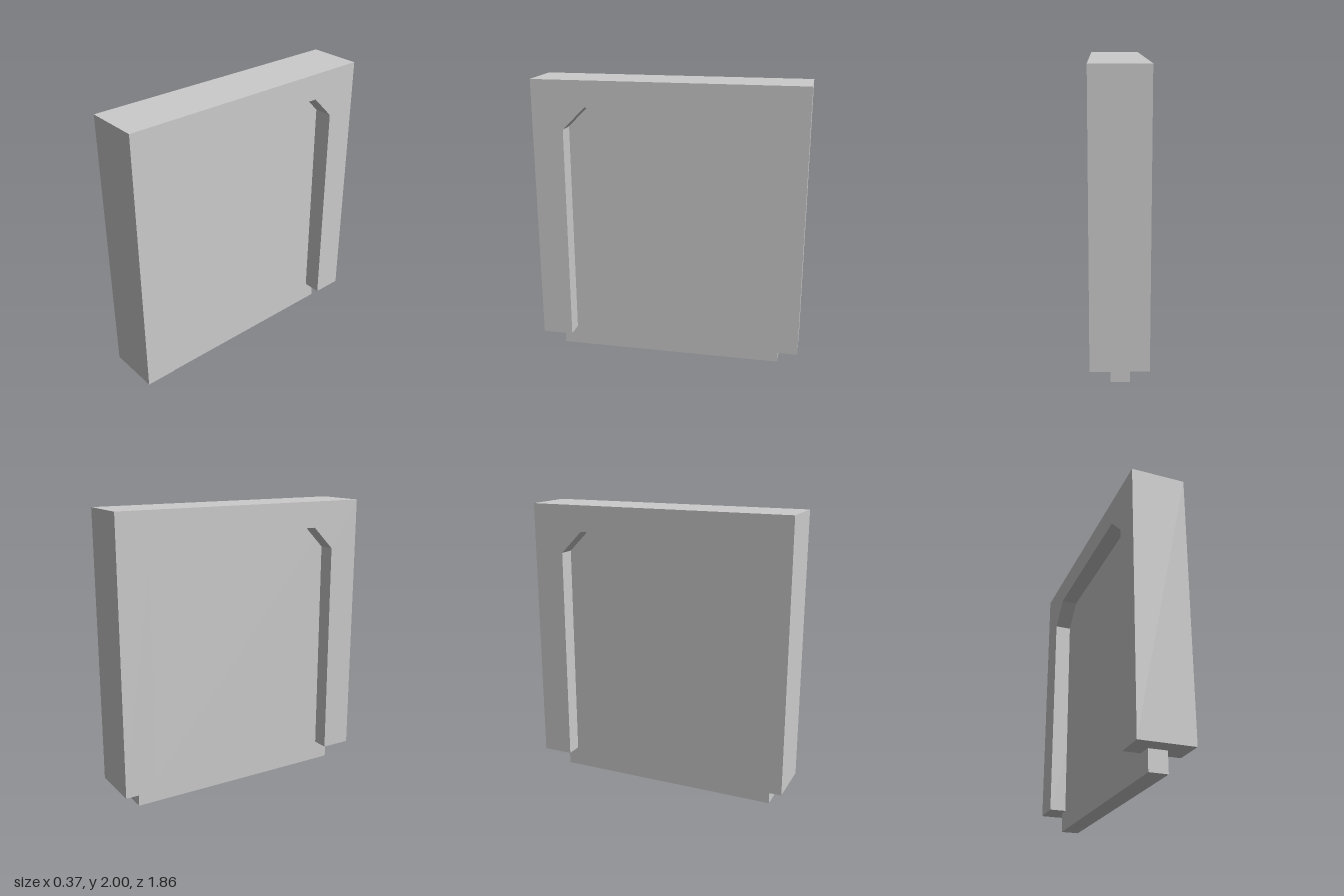
import * as THREE from 'three';

export function createModel() {
  const group = new THREE.Group();
  const material = new THREE.MeshStandardMaterial({ color: 0xcccccc, flatShading: true });

  // Surround: an upside-down U with chamfered inner corners
  const width = 0.37;
  const outline = [
    [-0.93, 0.14], [-0.715, 0.14], [-0.715, 1.665], [-0.56, 1.82],
    [0.56, 1.82], [0.715, 1.665], [0.715, 0.14], [0.93, 0.14],
    [0.93, 2], [-0.93, 2],
  ];
  const shape = new THREE.Shape(outline.map(([z, y]) => new THREE.Vector2(z, y)));
  const frameGeometry = new THREE.ExtrudeGeometry(shape, { depth: width, bevelEnabled: false });
  frameGeometry.translate(0, 0, -width / 2).rotateY(Math.PI / 2);
  const frame = new THREE.Mesh(frameGeometry, material);
  frame.name = 'doorFrame';
  group.add(frame);

  // Door slab: set into the frame, reaching below it to the ground
  const slab = new THREE.Mesh(new THREE.BoxGeometry(0.125, 1.9, 1.605), material);
  slab.position.set(-0.0075, 0.95, 0.0125);
  slab.name = 'doorPanel';
  group.add(slab);

  return group;
}
